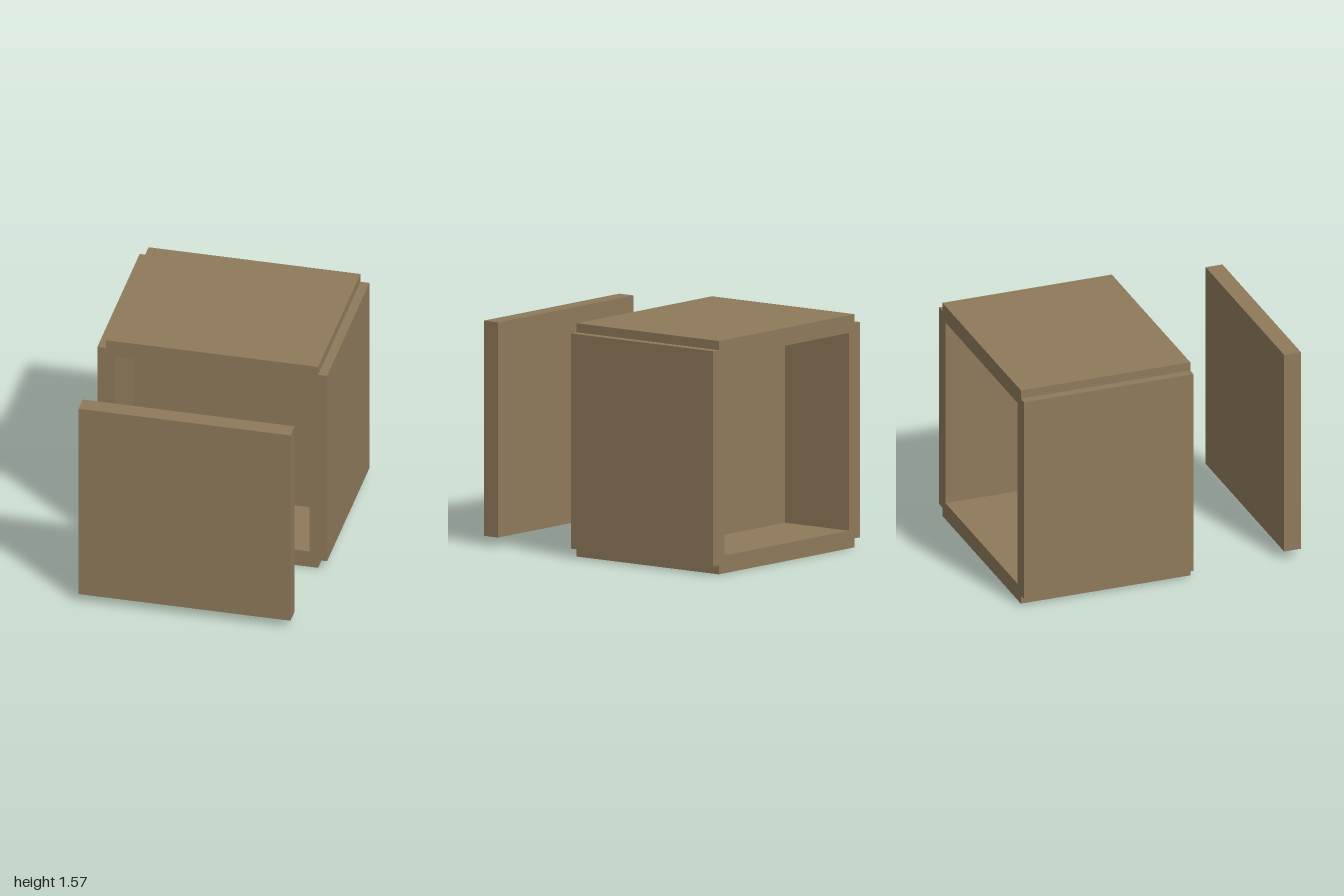
import * as THREE from 'three';

const W = 0.787;          // half width of the square carcass
const T = 0.12;           // board thickness
const N = 0.061;          // corner rebate
const BACK = -1, FRONT = 0.21;

export function createModel() {
  const group = new THREE.Group();
  const wood = new THREE.MeshStandardMaterial({ color: 0x8f7a5b });

  function add(name, geometry, y, z) {
    const mesh = new THREE.Mesh(geometry, wood);
    mesh.name = name;
    mesh.position.set(0, y, z);
    group.add(mesh);
  }

  // carcass: square tube with a rebate along each outer corner
  const a = W - N, i = W - T;
  const outline = new THREE.Shape([
    [-a, -W], [a, -W], [a, -a], [W, -a], [W, a], [a, a],
    [a, W], [-a, W], [-a, a], [-W, a], [-W, -a], [-a, -a],
  ].map(([x, y]) => new THREE.Vector2(x, y)));
  outline.holes.push(new THREE.Path(
    [[-i, -i], [-i, i], [i, i], [i, -i]].map(([x, y]) => new THREE.Vector2(x, y))));
  add('carcass', new THREE.ExtrudeGeometry(outline, { depth: FRONT - BACK, bevelEnabled: false }), W, BACK);

  // board across the middle of the tube
  add('middlePanel', new THREE.BoxGeometry(2 * i, 2 * i, T), W, (BACK + FRONT) / 2);

  // loose board standing off in front
  add('frontPanel', new THREE.BoxGeometry(2 * a, 2 * a, T), W, 1 - T / 2);

  return group;
}
